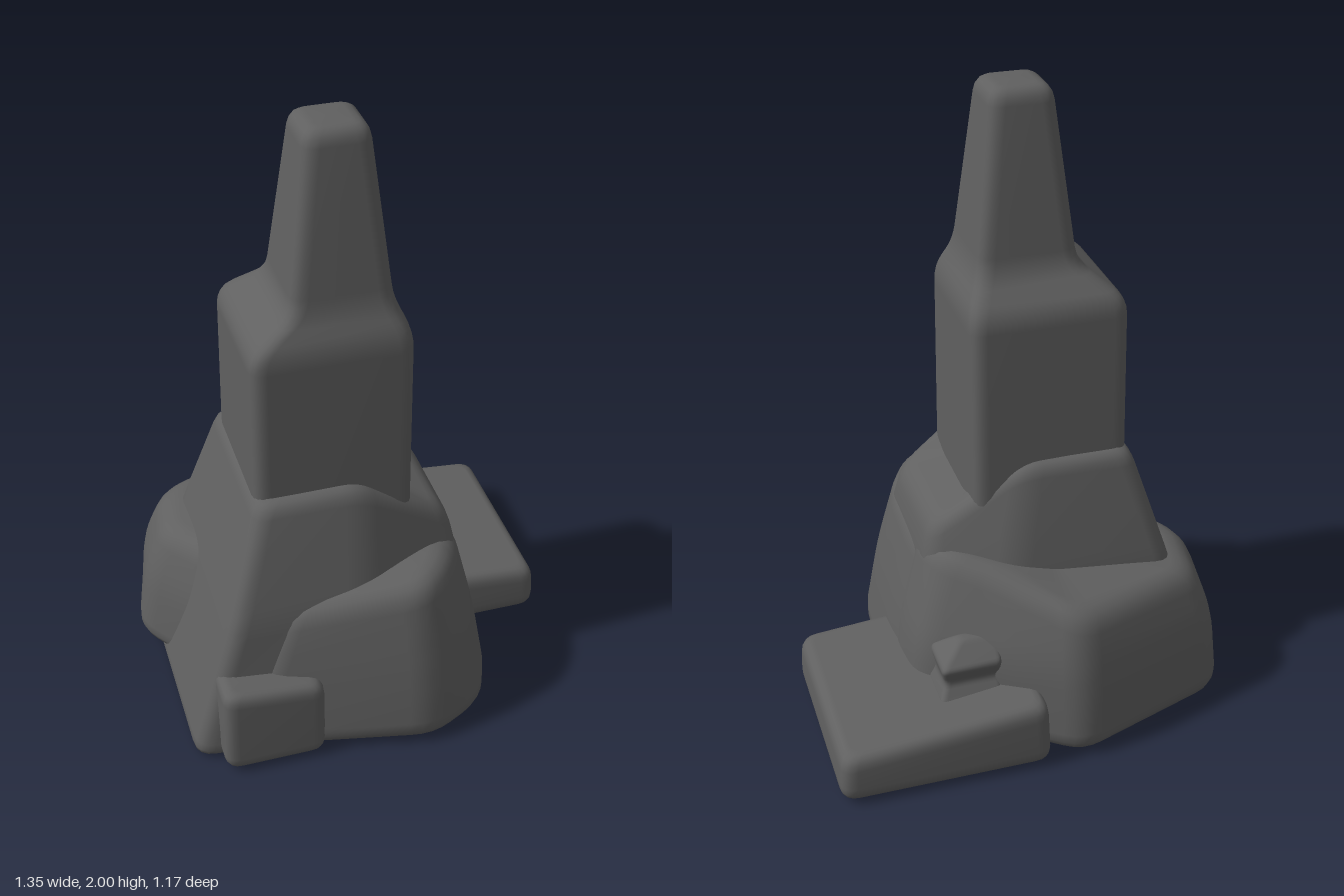
import * as THREE from 'three';

const material = new THREE.MeshStandardMaterial({ color: 0x606060 });

// Replaces each corner of a polyline by a small curve of reach r.
function roundCorners(points, r, closed) {
  const out = [], n = points.length;
  points.forEach((p, i) => {
    if (!closed && (i === 0 || i === n - 1)) return out.push(p.clone());
    const a = points[(i + n - 1) % n], b = points[(i + 1) % n];
    const start = p.clone().lerp(a, Math.min(0.45, r / (p.distanceTo(a) + 1e-6)));
    const end = p.clone().lerp(b, Math.min(0.45, r / (p.distanceTo(b) + 1e-6)));
    const curve = new THREE.QuadraticBezierCurve3(start, p, end);
    for (let k = 0; k <= 4; k++) out.push(curve.getPoint(k / 4));
  });
  return out;
}

// Soft-edged rock through rings of [x, y, z] corners, listed from the bottom up
// and running front, +x side, back, -x side.
function rock(name, r, rings) {
  const loops = rings.map(ring => roundCorners(ring.map(p => new THREE.Vector3(...p)), r, true));
  const centre = loop => loop.reduce((s, p) => s.add(p), new THREE.Vector3()).divideScalar(loop.length);
  const bottom = centre(loops[0]), top = centre(loops[loops.length - 1]);
  const n = loops[0].length, positions = [], index = [];
  let m = 0;
  for (let i = 0; i < n; i++) {
    const column = roundCorners([bottom, ...loops.map(l => l[i]), top], r, false);
    m = column.length;
    column.forEach(p => positions.push(p.x, p.y, p.z));
  }
  for (let i = 0; i < n; i++) {
    for (let j = 0; j < m - 1; j++) {
      const a = i * m + j, b = ((i + 1) % n) * m + j;
      if (j > 0) index.push(a, b, b + 1);
      if (j < m - 2) index.push(a, b + 1, a + 1);
    }
  }
  const geometry = new THREE.BufferGeometry();
  geometry.setAttribute('position', new THREE.Float32BufferAttribute(positions, 3));
  geometry.setIndex(index);
  geometry.computeVertexNormals();
  const mesh = new THREE.Mesh(geometry, material);
  mesh.name = name;
  return mesh;
}

// Rectangular ring; its height may differ between the -x and +x sides.
const rect = (x0, x1, z0, z1, y, y2 = y) => [[x0, y, z1], [x1, y2, z1], [x1, y2, z0], [x0, y, z0]];

export function createModel() {
  const group = new THREE.Group();
  group.name = 'rockSpire';

  group.add(
    // tall stepped column
    rock('spire', 0.05, [
      rect(-0.362, 0.14, -0.215, 0.292, 0.4),
      rect(-0.362, 0.137, -0.168, 0.292, 1.36),
      rect(-0.23, 0.088, -0.078, 0.247, 1.46),
      rect(-0.168, 0.03, -0.007, 0.187, 2.0),
    ]),

    // sloping mass around the foot of the spire
    rock('shoulderRock', 0.06, [
      [[-0.63, 0, 0.455], [-0.05, 0, 0.51], [0.32, 0, 0.36], [0.32, 0, -0.2], [0.05, 0, -0.36], [-0.63, 0, -0.34]],
      [[-0.48, 0.5, 0.425], [-0.05, 0.5, 0.425], [0.3, 0.52, 0.3], [0.3, 0.52, -0.17], [0.05, 0.5, -0.3], [-0.485, 0.5, -0.3]],
      [[-0.365, 0.88, 0.325], [-0.04, 0.885, 0.325], [0.27, 0.665, 0.26], [0.27, 0.665, -0.14], [-0.02, 0.885, -0.215], [-0.365, 0.88, -0.225]],
    ]),

    // bulging rock at the front, running into the shoulder on the -x side
    rock('frontRock', 0.08, [
      [[-0.5, 0.01, 0.46], [0.13, 0.01, 0.605], [0.33, 0.01, 0.505], [0.408, 0.01, 0.31], [0.412, 0.01, 0], [0.38, 0.01, -0.2], [-0.4, 0.01, -0.1]],
      [[-0.4, 0.3, 0.445], [0.13, 0.3, 0.57], [0.29, 0.3, 0.47], [0.36, 0.3, 0.29], [0.362, 0.3, 0], [0.34, 0.3, -0.2], [-0.35, 0.3, -0.1]],
      [[-0.32, 0.52, 0.42], [0.11, 0.6, 0.51], [0.22, 0.605, 0.41], [0.29, 0.59, 0.27], [0.295, 0.57, 0], [0.27, 0.57, -0.17], [-0.28, 0.52, -0.1]],
    ]),

    // broad rock at the back
    rock('backRock', 0.07, [
      [[-0.51, 0.03, 0.13], [0.3, 0.01, 0.08], [0.405, 0.01, -0.05], [0.38, 0.01, -0.28], [0.15, 0.01, -0.42], [-0.1, 0.01, -0.6], [-0.62, 0.03, -0.43], [-0.695, 0.04, -0.13]],
      [[-0.5, 0.3, 0.11], [0.3, 0.3, 0.06], [0.362, 0.3, -0.05], [0.35, 0.3, -0.26], [0.15, 0.3, -0.4], [-0.1, 0.3, -0.57], [-0.605, 0.3, -0.4], [-0.65, 0.3, -0.13]],
      [[-0.46, 0.5, 0.06], [0.22, 0.59, 0.03], [0.295, 0.59, -0.06], [0.26, 0.605, -0.2], [0.1, 0.57, -0.33], [-0.1, 0.495, -0.525], [-0.54, 0.475, -0.36], [-0.585, 0.485, -0.13]],
    ]),

    // flat slab at the back on the +x side
    rock('slab', 0.05, [
      rect(0, 0.675, -0.588, 0.088, 0.01),
      rect(0.01, 0.668, -0.582, 0.084, 0.23, 0.172),
    ]),

    // small pointed stone resting on the slab
    rock('pointedStone', 0.02, [
      rect(0.12, 0.325, -0.445, -0.265, 0.19),
      rect(0.12, 0.3, -0.405, -0.285, 0.25),
      rect(0.12, 0.315, -0.432, -0.265, 0.31),
      rect(0.12, 0.24, -0.36, -0.325, 0.37),
    ]),

    // small block leaning on the front
    rock('frontBlock', 0.045, [
      rect(-0.54, -0.212, 0.3, 0.54, 0.012),
      rect(-0.537, -0.212, 0.3, 0.535, 0.322, 0.288),
    ]),
  );
  return group;
}
